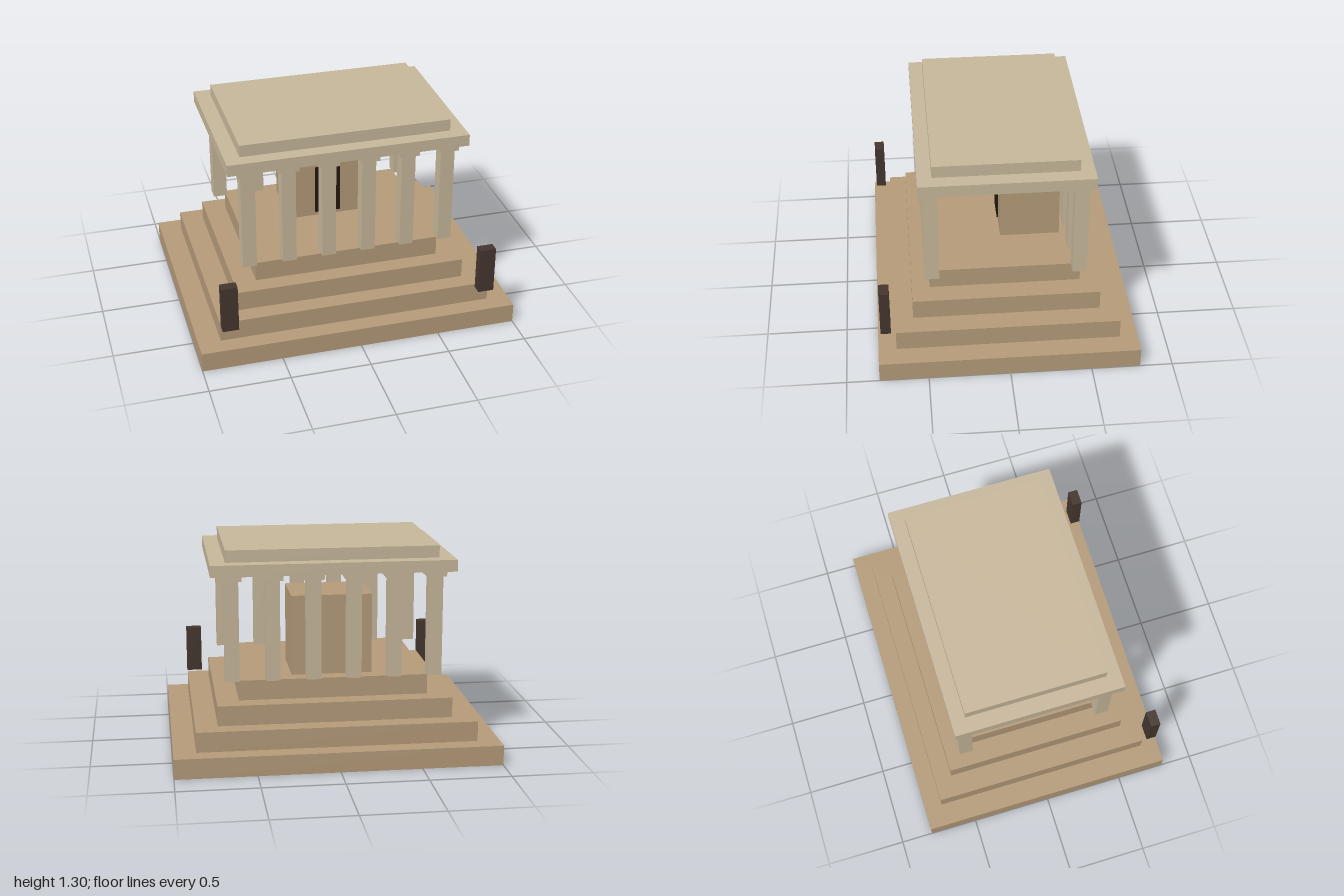
import * as THREE from 'three';

const material = (color) => new THREE.MeshStandardMaterial({ color, flatShading: true });

export function createModel() {
  const model = new THREE.Group();
  model.name = 'temple';
  const sandstone = material(0xb59b7a);
  const limestone = material(0xc8b89c);
  const doorDark = material(0x231812);
  const postDark = material(0x45362f);

  // Box given by its size, the height of its underside and its centre in x and z
  function block(name, mat, [w, h, d], bottom, x = 0, z = 0, parent = model) {
    const mesh = new THREE.Mesh(new THREE.BoxGeometry(w, h, d), mat);
    mesh.name = name;
    mesh.position.set(x, bottom + h / 2, z);
    parent.add(mesh);
  }

  // Stepped platform, each tier smaller than the one below
  const stepHeight = 0.125;
  for (let i = 0; i < 4; i++) {
    const scale = 1 - i * 0.1383;
    block('platformStep', sandstone, [2 * scale, stepHeight, 1.6 * scale], i * stepHeight);
  }
  const floor = 4 * stepHeight;

  // Inner chamber with its doorway
  block('chamber', sandstone, [0.5, 0.5, 0.375], floor, 0, -0.1875);
  block('doorway', doorDark, [0.165, 0.325, 0.012], 0.525, 0, 0.002);

  // Front and back colonnades of six square columns with capitals
  for (const z of [0.4525, -0.4525]) {
    const row = new THREE.Group();
    row.name = z > 0 ? 'frontColonnade' : 'backColonnade';
    for (let i = 0; i < 6; i++) {
      const x = -0.625 + i * 0.25;
      block('column', limestone, [0.0875, 0.625, 0.0875], floor, x, z, row);
      block('capital', limestone, [0.125, 0.03, 0.125], 1.125, x, z, row);
    }
    model.add(row);
  }

  // Two-tier flat roof
  block('roofSlab', limestone, [1.5, 0.073, 1.05], 1.155);
  block('roofCap', limestone, [1.31, 0.075, 0.875], 1.228);

  // Dark posts flanking the approach
  for (const x of [0.8125, -0.8125]) {
    block(x > 0 ? 'leftPost' : 'rightPost', postDark, [0.1, 0.3, 0.0625], 0.25, x, 0.75);
  }

  return model;
}
